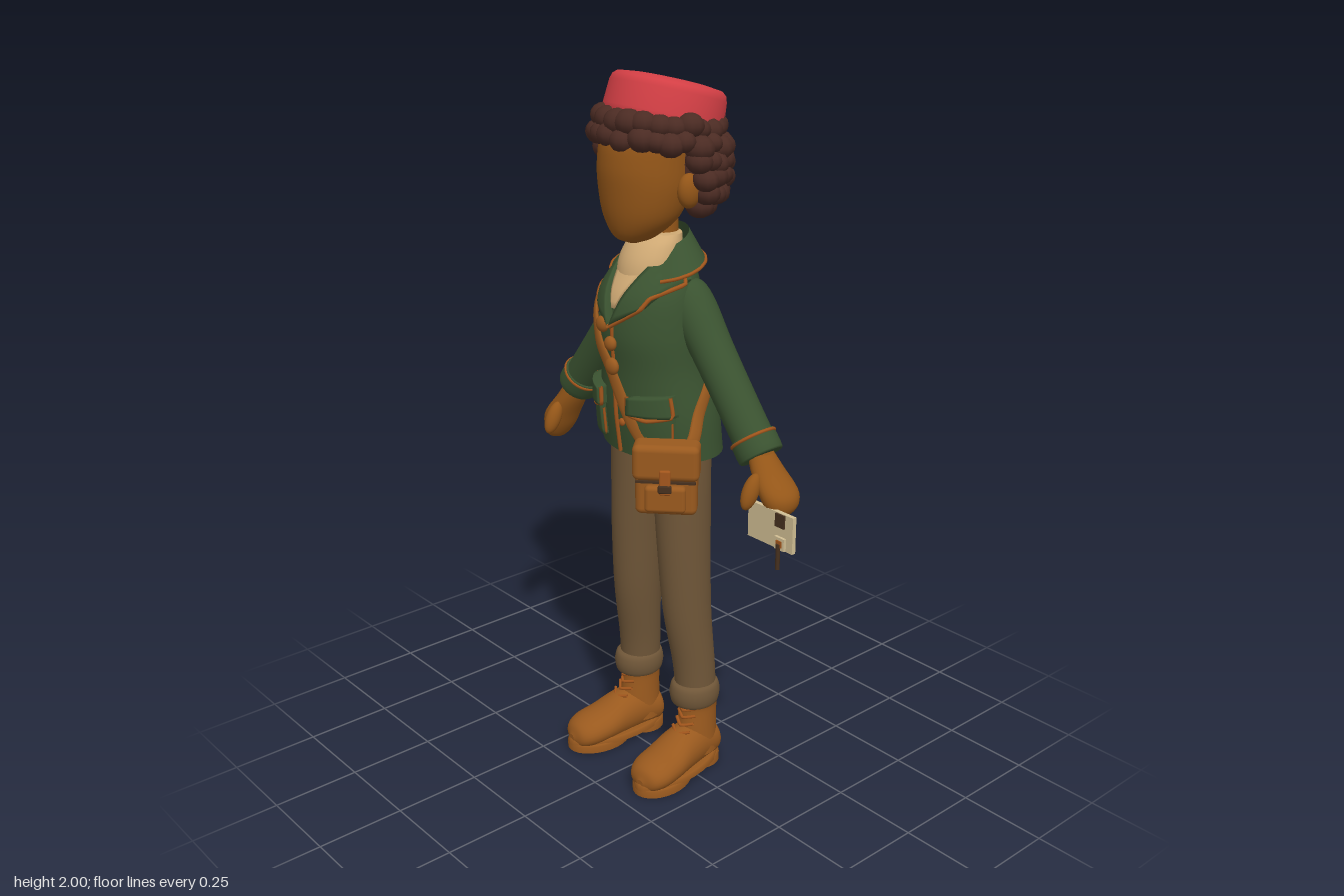
import * as THREE from 'three';
import { mergeGeometries } from 'three/addons/utils/BufferGeometryUtils.js';
import { RoundedBoxGeometry } from 'three/addons/geometries/RoundedBoxGeometry.js';

const V = (x, y, z) => new THREE.Vector3(x, y, z);
const mat = (name, color) => Object.assign(new THREE.MeshStandardMaterial({ color, side: THREE.DoubleSide }), { name });

// Joins rings of points into a smooth skin, with flat caps unless it is closed
function skin(rings, closed = false) {
  const n = rings[0].length, m = rings.length, pos = [], idx = [];
  rings.forEach(r => r.forEach(p => pos.push(p.x, p.y, p.z)));
  for (let j = 0; j < (closed ? m : m - 1); j++) for (let i = 0; i < n; i++) {
    const k = (i + 1) % n, up = ((j + 1) % m) * n, a = j * n + i, b = j * n + k;
    idx.push(a, up + i, b, b, up + i, up + k);
  }
  if (!closed) [0, m - 1].forEach(j => {
    const base = pos.length / 3, c = V(0, 0, 0);
    rings[j].forEach(p => { pos.push(p.x, p.y, p.z); c.addScaledVector(p, 1 / n); });
    pos.push(c.x, c.y, c.z);
    for (let i = 0; i < n; i++) {
      const k = (i + 1) % n;
      j ? idx.push(base + n, base + k, base + i) : idx.push(base + n, base + i, base + k);
    }
  });
  const g = new THREE.BufferGeometry();
  g.setAttribute('position', new THREE.Float32BufferAttribute(pos, 3));
  g.setIndex(idx);
  g.computeVertexNormals();
  return g;
}

// Rows are [x, y, z, radiusX, radiusZ]
function smoothRows(rows, k = 5) {
  const a = new THREE.CatmullRomCurve3(rows.map(r => V(r[0], r[1], r[2])), false, 'catmullrom');
  const b = new THREE.CatmullRomCurve3(rows.map(r => V(r[3], r[4], 0)), false, 'catmullrom');
  const N = (rows.length - 1) * k;
  return Array.from({ length: N + 1 }, (_, i) => {
    const p = a.getPoint(i / N), q = b.getPoint(i / N);
    return [p.x, p.y, p.z, Math.max(q.x, 0.001), Math.max(q.y, 0.001)];
  });
}
function loft(rows, k = 5, n = 28) {
  if (rows[0][1] > rows[rows.length - 1][1]) rows = [...rows].reverse();
  return skin((k > 1 ? smoothRows(rows, k) : rows).map(([x, y, z, rx, rz]) => Array.from({ length: n }, (_, i) => {
    const t = i / n * Math.PI * 2;
    return V(x + rx * Math.cos(t), y, z + rz * Math.sin(t));
  })));
}

// Jacket body and its front surface, used to lay details on the cloth
const TORSO = smoothRows([[0, .985, -.03, .193, .142], [0, 1.1, -.018, .183, .145], [0, 1.22, .002, .157, .13],
  [0, 1.32, .008, .15, .134], [0, 1.42, .004, .138, .122], [0, 1.48, -.01, .115, .1], [0, 1.53, -.025, .08, .075], [0, 1.56, -.03, .055, .05]]);
function frontZ(x, y) {
  let i = 0;
  while (i < TORSO.length - 2 && TORSO[i + 1][1] < y) i++;
  const a = TORSO[i], b = TORSO[i + 1], t = Math.min(1, Math.max(0, (y - a[1]) / (b[1] - a[1])));
  const at = c => a[c] + (b[c] - a[c]) * t;
  return at(2) + at(4) * Math.sqrt(Math.max(0, 1 - (x / at(3)) ** 2));
}
// Four-cornered cloth panel lying on the jacket front, edges tucked in
function panel([a, b, c, d], off, n = 10) {
  const g = new THREE.PlaneGeometry(1, 1, n, n), p = g.attributes.position;
  for (let i = 0; i < p.count; i++) {
    let u = p.getX(i) + .5, v = p.getY(i) + .5;
    const edge = u < .01 || u > .99 || v < .01 || v > .99;
    const squeeze = w => w < .01 || w > .99 ? w : .5 + (w - .5) * .97 / (1 - 2 / n);
    u = squeeze(u); v = squeeze(v);
    const mix = c0 => (a[c0] * (1 - u) + b[c0] * u) * (1 - v) + (d[c0] * (1 - u) + c[c0] * u) * v;
    const x = mix(0), y = mix(1);
    p.setXYZ(i, x, y, frontZ(x, y) + (edge ? -.004 : off));
  }
  g.computeVertexNormals();
  return g;
}
const tube = (pts, r, n = 24) => new THREE.TubeGeometry(new THREE.CatmullRomCurve3(pts, false, 'catmullrom', .2), n, r, 6);
const piping = (pts, off, r = .006) => tube(pts.map(([x, y]) => V(x, y, frontZ(x, y) + off)), r);

export function createModel() {
  const M = {
    hat: mat('red felt', 0xd43f45), hair: mat('dark brown hair', 0x4b2b23), skin: mat('brown skin', 0x945618),
    jacket: mat('green cloth', 0x3a5230), trousers: mat('brown cloth', 0x6f5638), shirt: mat('cream cloth', 0xcfa974),
    leather: mat('leather', 0x99591e), trim: mat('orange trim', 0xa3561c), paper: mat('paper', 0xd2bf94), dark: mat('dark brown', 0x46301e),
  };
  const model = new THREE.Group(), body = new THREE.Group();
  body.name = 'figure';
  body.position.x = -.025;
  model.add(body);
  const add = (name, geo, m, parent = body, x = 0, y = 0, z = 0) => {
    const o = new THREE.Mesh(geo, m);
    o.name = name;
    o.position.set(x, y, z);
    parent.add(o);
    return o;
  };
  const group = (name, x, y, z) => {
    const g = new THREE.Group();
    g.name = name;
    g.position.set(x, y, z);
    body.add(g);
    return g;
  };
  const ball = (rx, ry, rz) => new THREE.SphereGeometry(1, 20, 14).scale(rx, ry, rz);

  // Head, neck and ears
  add('head', loft([[0, 1.562, .07, .015, .015], [0, 1.58, .062, .055, .06], [0, 1.63, .042, .1, .1], [0, 1.7, .032, .12, .12],
    [0, 1.77, .03, .122, .125], [0, 1.84, .02, .115, .12], [0, 1.9, 0, .08, .08]]), M.skin);
  add('neck', new THREE.CylinderGeometry(.04, .045, .16, 20), M.skin, body, 0, 1.56, -.03);
  for (const s of [1, -1]) add('ear', ball(.026, .045, .034), M.skin, body, s * .13, 1.705, -.005);

  // Curly hair: rows of curls around the head, longer at the back
  const curls = [ball(.148, .135, .115).translate(0, 1.77, -.07)];
  let seed = 7;
  const rnd = () => (seed = (seed * 16807) % 2147483647) / 2147483647;
  for (const [y, rx, rz, half, count] of [[1.865, .15, .135, Math.PI, 22], [1.825, .168, .148, Math.PI, 24],
    [1.785, .172, .152, 1.85, 16], [1.745, .17, .152, 1.7, 15], [1.7, .155, .142, 1.55, 13], [1.665, .12, .115, 1.45, 10]])
    for (let i = 0; i < count; i++) {
      const a = -half + 2 * half * (i + rnd() * .5) / count, r = .029 + rnd() * .01;
      const z = -.018 - rz * Math.cos(a);
      curls.push(new THREE.SphereGeometry(r, 10, 8).scale(1.1, .9, 1).translate(rx * Math.sin(a), y + z * .12 + (rnd() - .5) * .015, z));
    }
  add('hair', mergeGeometries(curls), M.hair);

  // Pillbox hat, tipped back
  const hat = add('hat', loft([[0, -.058, 0, .146, .146], [0, -.052, 0, .156, .156], [0, -.03, 0, .159, .159], [0, .03, 0, .154, .154],
    [0, .046, 0, .149, .149], [0, .055, 0, .138, .138], [0, .06, 0, .1, .1], [0, .062, 0, .03, .03]], 1, 48), M.hat, body, -.008, 1.906, -.047);
  hat.rotation.x = -.27;

  // Jacket, shirt and collar
  add('jacketBody', loft(TORSO, 1, 40), M.jacket);
  add('shirtNeck', loft([[0, 1.42, .03, .08, .08], [0, 1.5, .018, .086, .08], [0, 1.55, 0, .08, .07], [0, 1.58, -.018, .07, .052]]), M.shirt);
  add('shirtFront', panel([[-.004, 1.395], [.004, 1.395], [.07, 1.53], [-.07, 1.53]], .012), M.shirt);
  const collarAt = (a, t) => V((.08 + .062 * t) * Math.sin(a), 1.565 + .028 * Math.cos(a) - t * .072,
    -.025 + .012 * t - (.068 + .045 * t) * Math.cos(a));
  const collar = new THREE.PlaneGeometry(1, 1, 32, 4), cp = collar.attributes.position;
  for (let i = 0; i < cp.count; i++) {
    const q = collarAt(cp.getX(i) * 4.7, .5 - cp.getY(i));
    cp.setXYZ(i, q.x, q.y, q.z);
  }
  collar.computeVertexNormals();
  add('collar', collar, M.jacket);
  add('collarPiping', tube(Array.from({ length: 15 }, (_, i) => collarAt(-2.35 + 4.7 * i / 14, 1)), .005, 48), M.trim);
  for (const s of [1, -1]) {
    const m = pts => pts.map(([x, y]) => [s * x, y]);
    add('lapel', panel(m([[.0, 1.35], [.085, 1.405], [.135, 1.475], [.068, 1.535]]), .022), M.jacket);
    add('lapelPiping', piping(m([[.003, 1.35], [.085, 1.405], [.1, 1.435], [.137, 1.465], [.125, 1.485]]), .018), M.trim);
    // Pocket with a flap
    add('pocket', panel(m([[.065, 1.02], [.155, 1.025], [.155, 1.14], [.065, 1.14]]), .018), M.jacket);
    add('pocketFlap', panel(m([[.055, 1.115], [.16, 1.115], [.15, 1.175], [.058, 1.165]]), .03), M.jacket);
    add('flapPiping', piping(m([[.055, 1.165], [.055, 1.118], [.105, 1.105], [.158, 1.118], [.15, 1.172]]), .02), M.trim);
    add('pocketPiping', piping(m([[.065, 1.1], [.068, 1.022], [.15, 1.028], [.153, 1.1]]), .008, .004), M.trim);
  }
  add('frontPiping', piping([[-.005, 1.35], [-.006, 1.2], [-.006, 1.1], [-.006, .99]], .003), M.trim);
  for (const y of [1.17, 1.08]) add('button', ball(.011, .011, .007), M.trim, body, .015, y, frontZ(.015, y) + .003);

  for (const s of [1, -1]) {
    // Sleeve with cuff
    const arm = group(s > 0 ? 'leftArm' : 'rightArm', s * .1, 1.41, -.035);
    arm.rotation.z = s * .668;
    add('sleeve', loft([[0, -.44, 0, .054, .056], [0, -.3, 0, .054, .056], [0, -.15, 0, .056, .058], [0, -.03, 0, .062, .063],
      [0, .03, 0, .052, .052], [0, .055, 0, .015, .015]]), M.jacket, arm);
    add('sleeveCuff', loft([[0, -.458, 0, .05, .05], [0, -.455, 0, .061, .061], [0, -.405, 0, .061, .061], [0, -.4, 0, .054, .054]], 3), M.jacket, arm);
    add('cuffPiping', new THREE.TorusGeometry(.06, .005, 6, 32).rotateX(Math.PI / 2), M.trim, arm, 0, -.408, 0);

    // Mitten-like hand, the left one closed
    const hy = y => 1.06 + (y - 1.06) * (s > 0 ? .72 : 1);
    add('hand', loft([[.38, 1.065, -.035, .034, .034], [.41, 1.01, -.032, .043, .046], [.452, .95, -.028, .05, .055],
      [.468, .905, -.026, .042, .05], [.474, .872, -.022, .023, .03], [.474, .862, -.022, .002, .002]]
      .map(([x, y, ...r]) => [s * x, hy(y), ...r])), M.skin);
    const thumb = add('thumb', ball(.021, .05, .024), M.skin, body, s * .418, hy(.95), .035);
    thumb.rotation.x = -.45;

    // Trouser leg with rolled cuff
    add('trouserLeg', loft([[.085, 1.03, -.022, .078, .088], [.09, .9, -.022, .077, .084], [.1, .7, -.022, .069, .08],
      [.109, .5, -.028, .063, .073], [.12, .33, -.045, .058, .063], [.125, .22, -.05, .057, .06]].map(([x, ...r]) => [s * x, ...r])), M.trousers);
    add('trouserCuff', loft([[0, .205, 0, .052, .056], [0, .212, 0, .064, .07], [0, .24, 0, .069, .076], [0, .268, 0, .064, .07], [0, .277, 0, .05, .055]], 3),
      M.trousers, body, s * .125, 0, -.045);

    // Laced boot
    const boot = group(s > 0 ? 'leftBoot' : 'rightBoot', s * .128, 0, -.055);
    boot.rotation.y = s * .12;
    add('bootShaft', loft([[0, .05, .005, .058, .065], [0, .12, .005, .054, .062], [0, .19, 0, .053, .057], [0, .215, 0, .057, .06]]), M.leather, boot);
    add('bootFoot', loft([[0, -.062, -.06, .025, .02], [0, -.045, -.07, .052, .055], [0, .02, -.078, .058, .068], [0, .085, -.072, .063, .066],
      [0, .145, -.06, .069, .052], [0, .2, -.052, .067, .046], [0, .235, -.045, .048, .034], [0, .25, -.04, .012, .01]]).rotateX(Math.PI / 2), M.leather, boot);
    const slab = (z, rx, rz, y0, y1) => loft([[0, y0, z, rx, rz], [0, y1 - .005, z, rx, rz], [0, y1, z, rx - .005, rz - .005]], 1);
    add('midsole', slab(.093, .073, .163, .018, .036), M.leather, boot);
    add('frontSole', slab(.155, .07, .1, 0, .025), M.leather, boot);
    add('heel', slab(-.01, .056, .06, 0, .03), M.leather, boot);
    for (const [y, z] of [[.13, .092], [.15, .075], [.172, .066], [.195, .064]])
      add('lace', tube([V(-.032, y + .008, z - .02), V(0, y, z), V(.032, y + .008, z - .02)], .005, 8), M.trim, boot);
  }
  add('hips', loft([[0, .975, -.022, .14, .08], [0, 1.06, -.02, .15, .09]], 1), M.trousers);

  // Shoulder strap: a flat band around the torso from right shoulder to left hip
  const front = [[-.105, 1.4], [-.055, 1.31], [-.005, 1.23], [.055, 1.11], [.095, 1.04]].map(([x, y]) => V(x, y, frontZ(x, y) + .016));
  const path = new THREE.CatmullRomCurve3([V(-.122, 1.485, 0), ...front, V(.15, 1.0, .115), V(.2, 1.04, .05), V(.182, 1.12, .0),
    V(.165, 1.18, -.045), V(.11, 1.24, -.106), V(.03, 1.33, -.138), V(-.05, 1.415, -.122), V(-.105, 1.47, -.07)], true, 'catmullrom', .5);
  add('strap', skin(Array.from({ length: 90 }, (_, j) => {
    const p = path.getPointAt(j / 90), t = path.getTangentAt(j / 90);
    const out = V(p.x, p.y - Math.min(p.y, 1.38), p.z + .02).normalize();
    const w = t.clone().cross(out).normalize(), nrm = w.clone().cross(t);
    return Array.from({ length: 10 }, (_, i) => {
      const a = i / 10 * Math.PI * 2;
      return p.clone().addScaledVector(w, .02 * Math.cos(a)).addScaledVector(nrm, -.007 * Math.sin(a) * -1);
    });
  }), true), M.leather);
  for (const [x, y, r] of [[-.03, 1.35, .022], [.008, 1.305, .02], [.004, 1.24, .024]])
    add('strapClasp', ball(r, r, .014), M.leather, body, x, y, frontZ(x, y) + .017);

  // Satchel on the left hip
  const bag = group('satchel', .178, .965, .11);
  bag.rotation.y = .75;
  add('bagBody', new RoundedBoxGeometry(.165, .185, .065, 3, .018), M.leather, bag, 0, -.005, 0);
  add('bagFlap', new RoundedBoxGeometry(.178, .1, .08, 3, .018), M.leather, bag, 0, .052, .003);
  add('bagPocket', new RoundedBoxGeometry(.11, .075, .03, 3, .012), M.leather, bag, 0, -.045, .038);
  add('bagFlapEdge', new THREE.BoxGeometry(.16, .006, .008), M.dark, bag, 0, .001, .037);
  add('bagTab', new RoundedBoxGeometry(.03, .07, .012, 2, .005), M.trim, bag, 0, .005, .05);
  add('bagBuckle', new RoundedBoxGeometry(.036, .022, .01, 2, .004), M.dark, bag, 0, -.012, .055);

  // Paper card with a pen in the left hand
  const card = group('card', .48, .9, .018);
  add('cardSheet', new THREE.BoxGeometry(.16, .1, .012), M.paper, card);
  add('cardPicture', new THREE.BoxGeometry(.032, .036, .006), M.dark, card, .037, .03, .008);
  add('cardTag', new THREE.BoxGeometry(.034, .034, .008), M.paper, card, .042, -.03, .011);
  add('cardTagMark', new THREE.BoxGeometry(.018, .018, .004), M.trim, card, .042, -.03, .016);
  add('pen', new THREE.CylinderGeometry(.006, .006, .07, 10), M.dark, card, .042, -.065, .018);
  return model;
}
